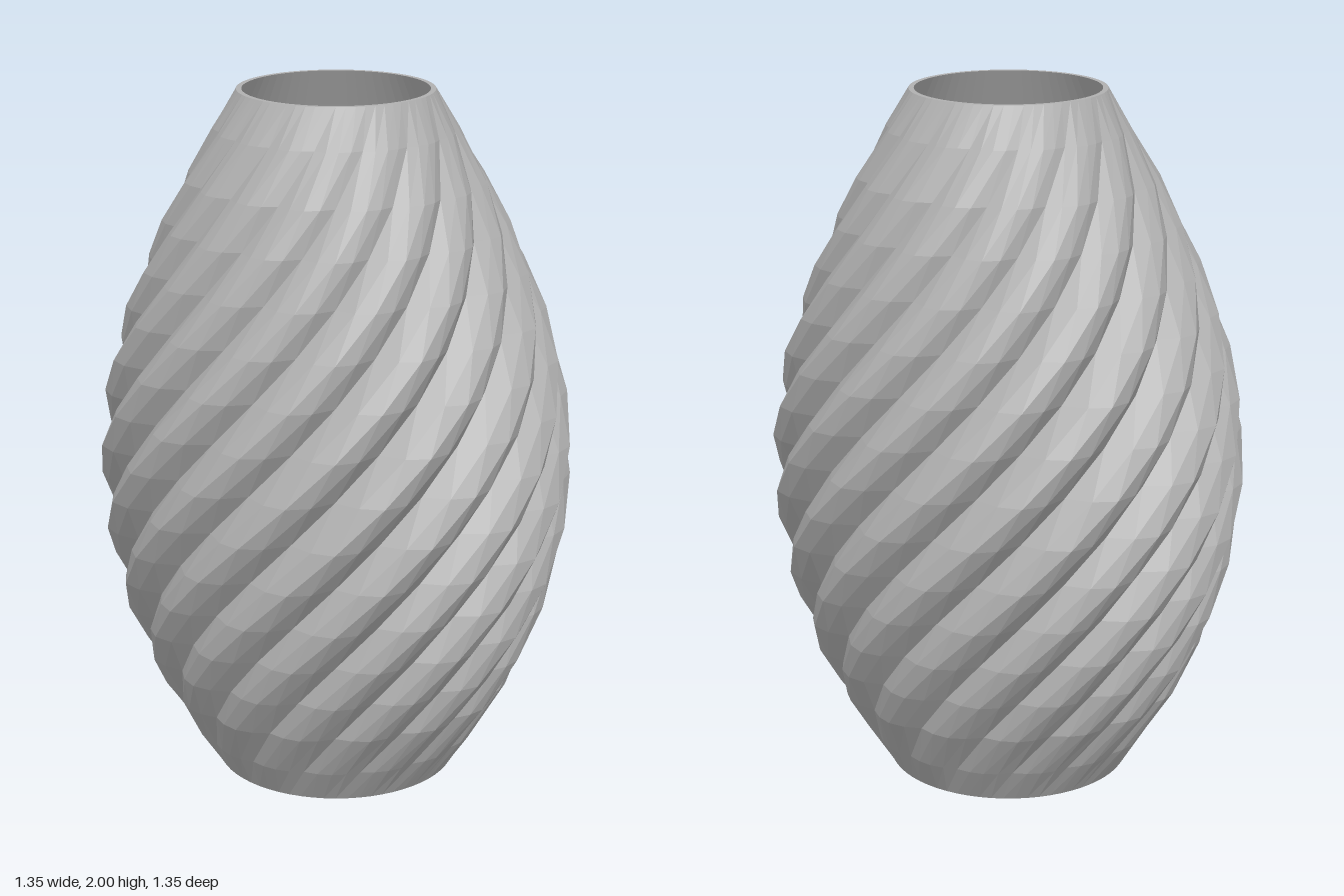
import * as THREE from 'three';

const RIDGES = 16, SIDES = RIDGES * 4, LEVELS = 16, WALL = 0.015;
const DEPTH = 0.07; // crest to valley at mid height
const DROP = [0, 0.3, 1, 0.3]; // rounded crest, sharp valley

// crest profile as (radius, height), bottom to top
const profile = new THREE.SplineCurve(
  [0.35, 0.507, 0.612, 0.668, 0.677, 0.637, 0.547, 0.426, 0.277].map((r, i) => new THREE.Vector2(r, i / 4))
).getPoints(LEVELS);

// ridges fade out at both ends
const depthAt = (y) => DEPTH * Math.sin((Math.PI * y) / 2);

// Outer wall: lobed rings, each turned a little further than the one below
function ridgedWall() {
  const pos = [], index = [];
  for (const { x: crest, y } of profile) {
    const twist = ((y - 1) * Math.PI) / 2;
    for (let j = 0; j < SIDES; j++) {
      const a = (j / SIDES) * Math.PI * 2 + twist;
      const r = crest - depthAt(y) * DROP[j % 4];
      pos.push(r * Math.sin(a), y, r * Math.cos(a));
    }
  }
  for (let k = 0; k < LEVELS; k++) {
    for (let j = 0; j < SIDES; j++) {
      const a = k * SIDES + j, b = k * SIDES + ((j + 1) % SIDES);
      index.push(a, b, a + SIDES, b, b + SIDES, a + SIDES);
    }
  }
  const g = new THREE.BufferGeometry();
  g.setAttribute('position', new THREE.Float32BufferAttribute(pos, 3));
  g.setIndex(index);
  g.computeVertexNormals();
  return g;
}

// Smooth hollow inside the valleys, from the rim down to the floor centre
function hollow() {
  const points = profile.map(({ x, y }) => new THREE.Vector2(x - depthAt(y) - WALL, Math.max(y, 0.02)));
  return new THREE.LatheGeometry([...points.reverse(), new THREE.Vector2(0, 0.02)], SIDES);
}

export function createModel() {
  const group = new THREE.Group();
  group.name = 'twistedVase';
  const material = new THREE.MeshStandardMaterial({ color: 0xb0b0b0, flatShading: true });
  const add = (name, geometry) => {
    const mesh = new THREE.Mesh(geometry, material);
    mesh.name = name;
    group.add(mesh);
  };

  add('outerWall', ridgedWall());
  add('innerWall', hollow());

  // flat rim and underside
  const top = profile[LEVELS].x;
  add('rim', new THREE.RingGeometry(top - WALL, top, SIDES).rotateX(-Math.PI / 2).translate(0, 2, 0));
  add('underside', new THREE.CircleGeometry(profile[0].x, SIDES).rotateX(Math.PI / 2));
  return group;
}
